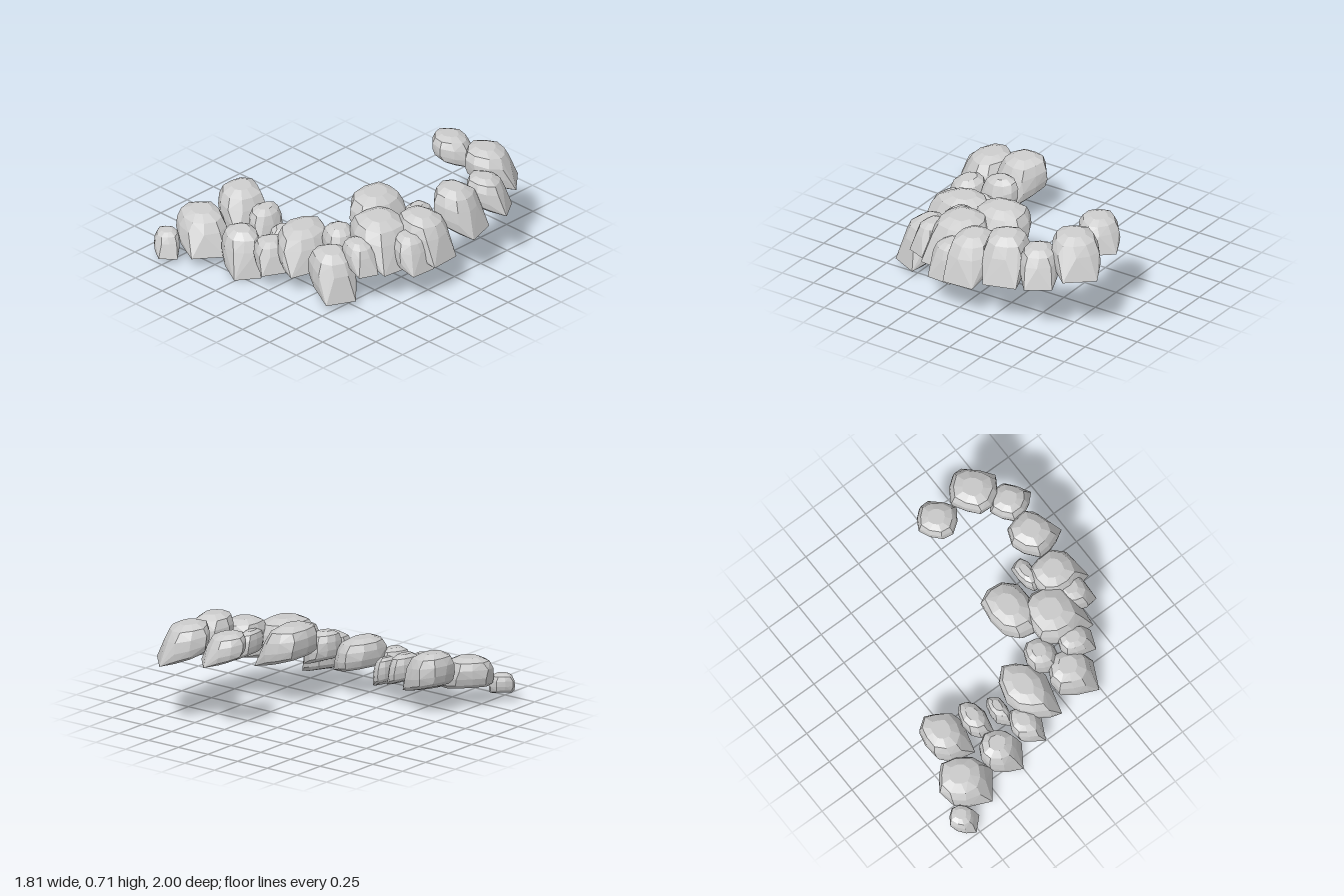
import * as THREE from 'three';
import { ConvexGeometry } from 'three/addons/geometries/ConvexGeometry.js';

// Each boulder: x from, x to, y from, y to, z from, z to
const LOWER_END = [
  [-0.91, -0.69, 0.03, 0.20, 0.80, 1.00],
  [-0.85, -0.43, 0.07, 0.34, 0.53, 0.90],
  [-0.74, -0.40, 0.13, 0.43, 0.22, 0.57],
  [-0.45, -0.24, 0.13, 0.37, 0.28, 0.55],
  [-0.47, -0.15, 0.00, 0.31, 0.53, 0.82],
  [-0.24, -0.09, 0.08, 0.30, 0.34, 0.56],
  [-0.20, 0.04, 0.10, 0.31, 0.51, 0.78],
];
const BEND = [
  [-0.12, 0.24, 0.13, 0.40, 0.24, 0.70],
  [0.15, 0.40, 0.17, 0.43, 0.22, 0.46],
  [0.21, 0.57, 0.04, 0.36, 0.37, 0.69],
  [0.38, 0.65, 0.22, 0.43, 0.30, 0.50],
  [0.30, 0.72, 0.21, 0.53, -0.02, 0.37],
  [0.58, 0.83, 0.20, 0.45, -0.02, 0.24],
  [0.11, 0.46, 0.26, 0.56, -0.21, 0.20],
];
const UPPER_END = [
  [0.50, 0.87, 0.23, 0.54, -0.20, 0.11],
  [0.44, 0.60, 0.29, 0.50, -0.27, -0.03],
  [0.53, 0.90, 0.32, 0.64, -0.50, -0.17],
  [0.56, 0.89, 0.37, 0.62, -0.76, -0.47],
  [0.37, 0.76, 0.43, 0.71, -1.00, -0.62],
  [0.08, 0.41, 0.47, 0.69, -0.94, -0.62],
];

// Dome profile: radius, height
const RINGS = [[0.78, 0], [0.95, 0.1], [1, 0.32], [0.95, 0.62], [0.78, 0.87], [0.42, 1]];
const SIDES = 10;

function seeded(seed) {
  let s = seed * 791900 + 17;
  return () => (s = (s * 16807) % 2147483647) / 2147483647;
}

// Convex rock: a squarish dome with a tilted base and a low pointed skirt, sized to its box
function rockGeometry([x0, x1, y0, y1, z0, z1], seed) {
  const rand = seeded(seed);
  // the skirts turn gradually along the ridge
  const heading = 0.44 * (z0 + z1);
  const dx = Math.cos(heading), dz = Math.sin(heading);
  const points = [];
  const add = (angle, r, h) => {
    const x = Math.cos(angle) * r, z = Math.sin(angle) * r;
    const dip = 0.2 * (x * dx + z * dz) * (1 - 0.65 * h);
    // the base dips towards the skirt, the crown leans away from it
    points.push(new THREE.Vector3(x - dx * 0.2 * h, h - dip, z - dz * 0.2 * h));
  };
  const wobble = Array.from({ length: SIDES }, () => 0.94 + 0.1 * rand());
  for (const [r, h] of RINGS) {
    for (let i = 0; i < SIDES; i++) {
      const t = (i / SIDES) * Math.PI * 2 + 0.15 * rand();
      const c = Math.abs(Math.cos(t - heading)), s = Math.abs(Math.sin(t - heading));
      add(t, r * wobble[i] * Math.pow(c ** 3 + s ** 3, -1 / 3), h);
    }
  }
  // skirt corners
  add(heading - 0.6, 1.32, 0.04);
  add(heading + 0.55, 1.34, 0.06);
  add(heading + 0.5, 1.18, 0.25);

  const box = new THREE.Box3().setFromPoints(points);
  const size = box.getSize(new THREE.Vector3());
  for (const p of points) {
    p.sub(box.min).divide(size);
    p.set(x0 + p.x * (x1 - x0), y0 + p.y * (y1 - y0), z0 + p.z * (z1 - z0));
  }
  return new ConvexGeometry(points);
}

export function createModel() {
  const model = new THREE.Group();
  model.name = 'boulderRidge';
  const stone = new THREE.MeshStandardMaterial({ color: 0xcccccc, flatShading: true });
  let seed = 0;
  for (const [name, boulders] of Object.entries({ lowerEnd: LOWER_END, bend: BEND, upperEnd: UPPER_END })) {
    const section = new THREE.Group();
    section.name = name;
    boulders.forEach((extents, i) => {
      const rock = new THREE.Mesh(rockGeometry(extents, ++seed), stone);
      rock.name = `${name}Boulder${i + 1}`;
      section.add(rock);
    });
    model.add(section);
  }
  return model;
}
